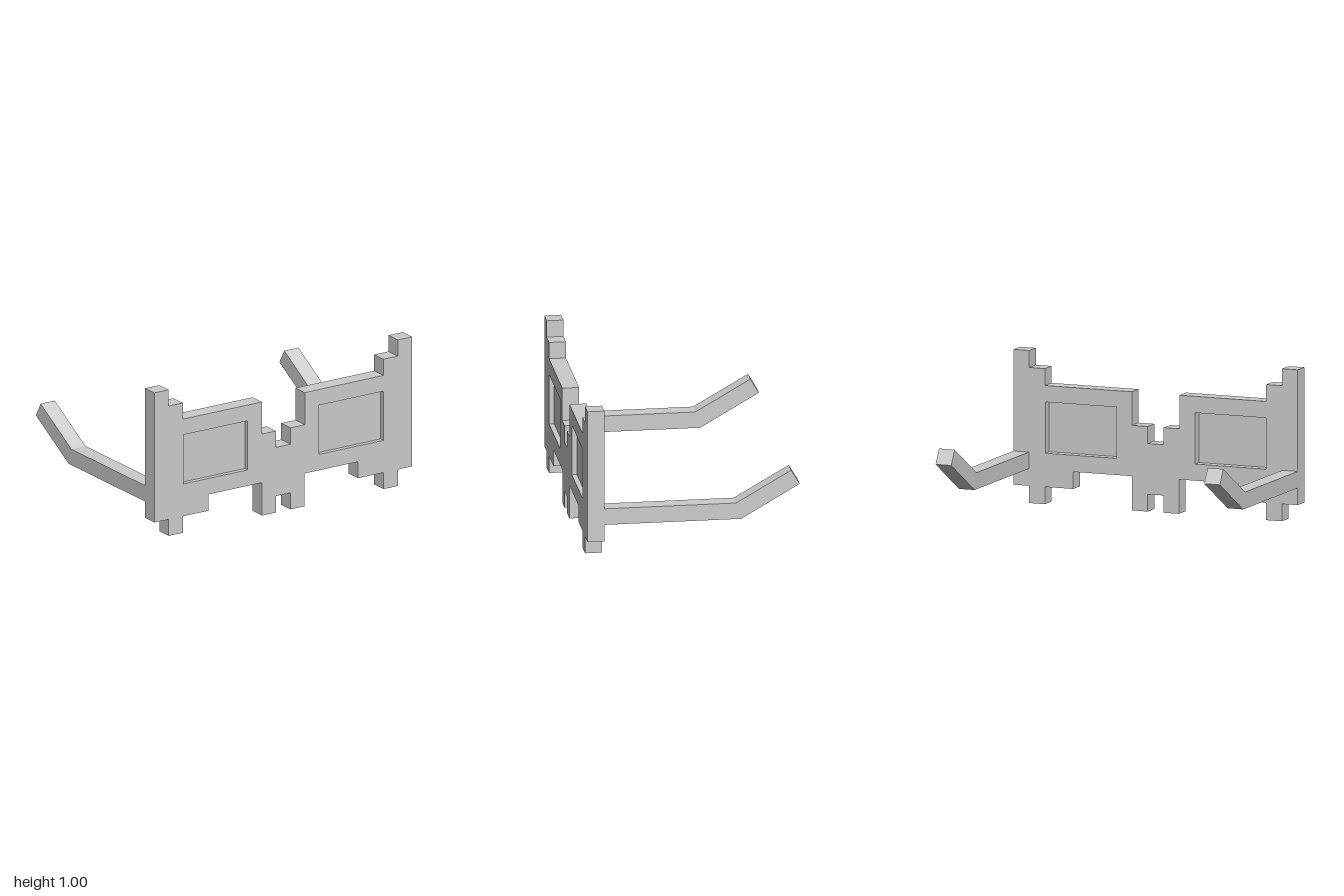
import * as THREE from 'three';

const FRONT_Z = 0.693, BACK_Z = 0.583, BAR = 0.11;

const toShape = (pts) => new THREE.Shape(pts.map(([x, y]) => new THREE.Vector2(x, y)));

export function createModel() {
  const model = new THREE.Group();
  const material = new THREE.MeshStandardMaterial({ color: 0xcccccc, flatShading: true });
  const add = (geometry, name) => {
    const mesh = new THREE.Mesh(geometry, material);
    mesh.name = name;
    model.add(mesh);
  };

  // Stepped frame outline: right half from bottom centre to top centre, then mirrored
  const half = [
    [0.056, 0.113], [0.056, 0], [0.165, 0], [0.165, 0.225], [0.58, 0.225], [0.58, 0.113],
    [0.778, 0.113], [0.778, 0], [0.889, 0], [0.889, 0.113], [1, 0.113], [1, 1],
    [0.889, 1], [0.889, 0.889], [0.778, 0.889], [0.778, 0.778], [0.167, 0.778],
    [0.167, 0.558], [0.056, 0.558], [0.056, 0.446],
  ];
  const outline = toShape([...half, ...half.map(([x, y]) => [-x, y]).reverse()]);

  // Rectangular lens openings
  const lens = { x: 0.526, y: 0.502, w: 0.5, h: 0.336 };
  for (const s of [-1, 1]) {
    const cx = s * lens.x, w = lens.w / 2, h = lens.h / 2;
    outline.holes.push(new THREE.Path([
      new THREE.Vector2(cx - w, lens.y - h), new THREE.Vector2(cx - w, lens.y + h),
      new THREE.Vector2(cx + w, lens.y + h), new THREE.Vector2(cx + w, lens.y - h),
    ]));
  }
  const frame = new THREE.ExtrudeGeometry(outline, { depth: FRONT_Z - BACK_Z, bevelEnabled: false });
  frame.translate(0, 0, BACK_Z);
  add(frame, 'frame');

  // Bent temple side profile, drawn with -z to the right
  const profile = toShape([
    [-BACK_Z, 0.225], [0.31, 0.225], [0.693, 0.446], [0.637, 0.541], [0.278, 0.334], [-BACK_Z, 0.334],
  ]);

  for (const [side, s] of [['left', 1], ['right', -1]]) {
    // Thin lens set nearer the front face
    const pane = new THREE.BoxGeometry(lens.w, lens.h, 0.012);
    pane.translate(s * lens.x, lens.y, 0.654);
    add(pane, side + 'Lens');

    const temple = new THREE.ExtrudeGeometry(profile, { depth: BAR, bevelEnabled: false });
    temple.rotateY(Math.PI / 2);
    temple.translate(s > 0 ? 1 - BAR : -1, 0, 0);
    add(temple, side + 'Temple');
  }
  return model;
}
